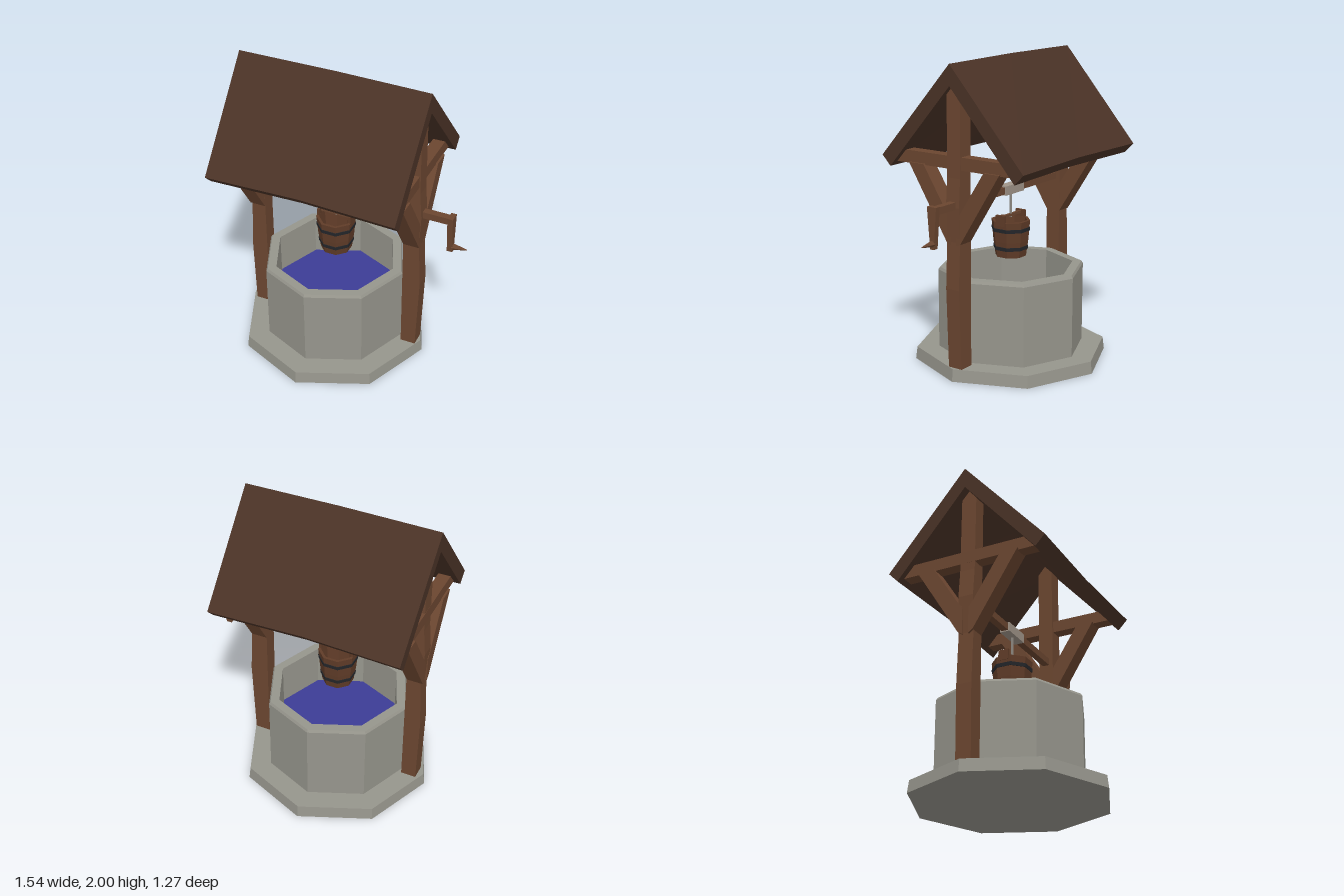
import * as THREE from 'three';

const mat = (color, side = THREE.FrontSide) =>
  new THREE.MeshStandardMaterial({ color, flatShading: true, side });
const STONE = mat(0x96958c), WOOD = mat(0x6b4630), ROOF = mat(0x4a3226), BUCKET = mat(0x603c28),
  IRON = mat(0x24262a), ROPE = mat(0x8c8780), SPOOL = mat(0xa09488), WATER = mat(0x3c3c96);
const WELL_X = -0.135;

export function createModel() {
  const model = new THREE.Group();

  const add = (name, geometry, material, x = 0, y = 0, z = 0, parent = model) => {
    const mesh = new THREE.Mesh(geometry, material);
    mesh.name = name;
    mesh.position.set(x, y, z);
    parent.add(mesh);
    return mesh;
  };
  const shapeOf = pts => new THREE.Shape(pts.map(p => new THREE.Vector2(...p)));
  // outline in x/y, centred thickness in z
  const slab = (pts, depth, steps = 1) =>
    new THREE.ExtrudeGeometry(shapeOf(pts), { depth, steps, bevelEnabled: false }).translate(0, 0, -depth / 2);
  // outline in z/y, centred thickness in x
  const sideSlab = (pts, depth, steps = 1) =>
    slab(pts.map(([z, y]) => [-z, y]), depth, steps).rotateY(Math.PI / 2);
  // eight-sided turned solid from [radius, y] points
  const octagon = (pts, turn = 0) =>
    new THREE.LatheGeometry(pts.map(p => new THREE.Vector2(...p)), 8).rotateY(turn);

  // Stone base, well wall and water
  add('base', octagon([[0, 0], [0.635, 0], [0.625, 0.08], [0, 0.08]]), STONE, WELL_X);
  add('wellWall', octagon([[0.48, 0.07], [0.48, 0.605], [0.47, 0.622], [0.41, 0.622], [0.405, 0.08]]), STONE, WELL_X);
  add('water', new THREE.CylinderGeometry(0.406, 0.406, 0.02, 8), WATER, WELL_X, 0.34);

  // Slightly bowed posts, each with a tie beam and two braces
  const frames = [
    { name: 'rightFrame', x: -0.675, post: [[-0.62, 0.07], [-0.62, 1.9], [-0.71, 1.9], [-0.715, 1.3],
      [-0.73, 1.12], [-0.715, 0.88], [-0.73, 0.55], [-0.72, 0.07]] },
    { name: 'leftFrame', x: 0.417, post: [[0.365, 0.07], [0.465, 0.07], [0.485, 0.6], [0.47, 0.9],
      [0.478, 1.12], [0.465, 1.3], [0.46, 1.9], [0.36, 1.9]] },
  ];
  for (const { name, x, post } of frames) {
    const frame = new THREE.Group();
    frame.name = name;
    model.add(frame);
    add('post', slab(post, 0.1), WOOD, 0, 0, 0, frame);
    add('tieBeam', new THREE.BoxGeometry(0.08, 0.08, 0.97), WOOD, x, 1.392, 0, frame);
    for (const s of [1, -1]) {
      const outline = [[0.02, 0.87], [0.05, 0.89], [0.345, 1.36], [0.23, 1.36], [0.05, 1.08], [0.02, 1.04]];
      add('brace', sideSlab(outline.map(([z, y]) => [s * z, y]), 0.108), WOOD, x, 0, 0, frame);
    }
  }

  // Roof: one folded slab, drawn in slightly at the middle
  const roof = sideSlab([[0, 2], [-0.538, 1.395], [-0.475, 1.33], [0, 1.868], [0.475, 1.33], [0.538, 1.395]], 1.25, 2);
  const p = roof.attributes.position;
  for (let i = 0; i < p.count; i++) {
    const x = p.getX(i), y = p.getY(i);
    if (Math.abs(x) < 0.1) p.setZ(i, p.getZ(i) * 0.965);
    else p.setY(i, y - 0.006);
    if (x < -0.5) p.setX(i, x - 0.02 * (y - 1.33) / 0.67);
  }
  add('roof', roof, ROOF, -0.127);

  // Winding axle, spool and crank
  add('axle', new THREE.BoxGeometry(1.29, 0.046, 0.046), WOOD, 0.01, 1.132);
  add('spool', new THREE.BoxGeometry(0.2, 0.06, 0.066), SPOOL, -0.13, 1.132);
  add('crankArm', sideSlab([[-0.035, 1.162], [-0.014, 0.9], [0.014, 0.9], [0.035, 1.162]], 0.036), WOOD, 0.66);
  add('crankHandle', new THREE.CylinderGeometry(0.003, 0.022, 0.1, 6).rotateZ(-Math.PI / 2), WOOD, 0.72, 0.935);

  // Rope and hanging bucket
  add('rope', new THREE.CylinderGeometry(0.008, 0.008, 0.17, 6), ROPE, -0.128, 1.025);
  const bucket = new THREE.Group();
  bucket.name = 'bucket';
  bucket.position.set(-0.128, 0, 0);
  model.add(bucket);
  const turn = Math.PI / 8;
  add('staves', octagon([[0, 0.685], [0.102, 0.685], [0.117, 0.79], [0.129, 0.925], [0.11, 0.925], [0.09, 0.705], [0, 0.705]], turn),
    BUCKET, 0, 0, 0, bucket);
  for (const [y, r] of [[0.745, 0.114], [0.868, 0.127]]) {
    add('band', octagon([[r - 0.012, y - 0.012], [r, y - 0.012], [r + 0.002, y + 0.012], [r - 0.012, y + 0.012]], turn),
      IRON, 0, 0, 0, bucket);
  }
  add('handleBar', new THREE.BoxGeometry(0.23, 0.018, 0.018), WOOD, 0, 0.955, 0, bucket);
  for (const s of [1, -1])
    add('ear', new THREE.BoxGeometry(0.018, 0.07, 0.07), BUCKET, s * 0.111, 0.935, 0, bucket);

  return model;
}
